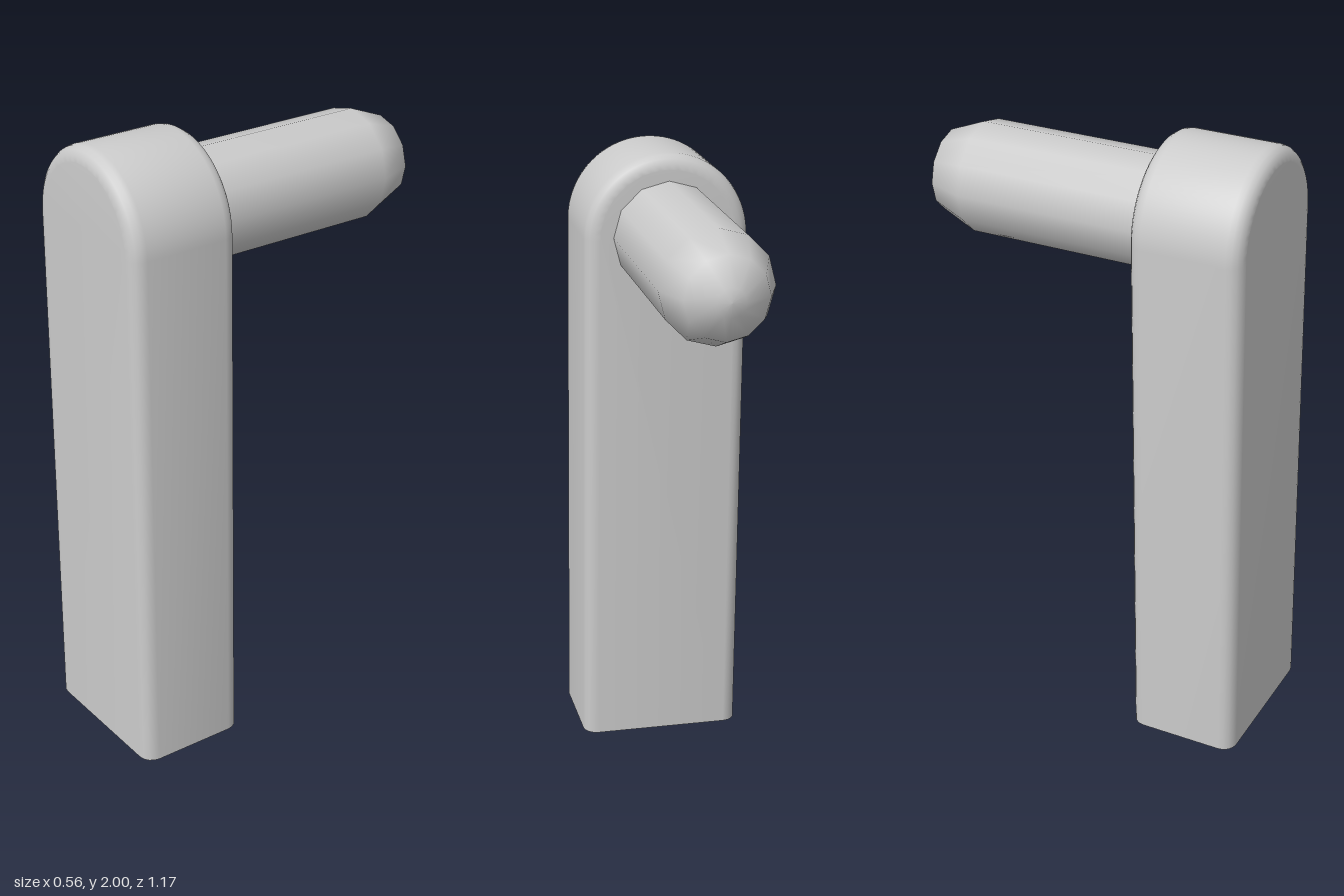
import * as THREE from 'three';
import { toCreasedNormals } from 'three/addons/utils/BufferGeometryUtils.js';

const material = new THREE.MeshStandardMaterial({ color: 0xcccccc });

// Upright bar: flat foot, semicircular top, softly rounded edges
function barGeometry(halfWidth, height, depth, bevel) {
  const w = halfWidth - bevel;
  const shape = new THREE.Shape();
  shape.moveTo(-w, bevel);
  shape.lineTo(w, bevel);
  shape.lineTo(w, height - halfWidth);
  shape.absarc(0, height - halfWidth, w, 0, Math.PI, false);
  shape.closePath();
  const geometry = new THREE.ExtrudeGeometry(shape, {
    depth: depth - 2 * bevel, bevelThickness: bevel, bevelSize: bevel,
    bevelSegments: 4, curveSegments: 24,
  });
  geometry.translate(0, 0, bevel - depth / 2);
  // Flatten the foot so only its vertical corners stay rounded
  const p = geometry.attributes.position;
  for (let i = 0; i < p.count; i++) if (p.getY(i) < 0.1) p.setY(i, 0);
  return toCreasedNormals(geometry, 0.7);
}

// Pin: twelve-sided rod with a coarse domed end, pointing backwards
function pinGeometry() {
  const profile = [[0.177, 0.1], [0.177, 0.8], [0.13, 0.918], [0.045, 0.966], [0, 0.97]];
  const geometry = new THREE.LatheGeometry(profile.map(([r, y]) => new THREE.Vector2(r, y)), 12);
  return geometry.rotateX(-Math.PI / 2);
}

export function createModel() {
  const model = new THREE.Group();
  model.name = 'crankHandle';

  // The whole piece leans very slightly
  const body = new THREE.Group();
  body.name = 'leaningBody';
  body.position.set(0.012, 0.006, 0.405);
  body.rotation.set(-0.01, -0.011, 0.0145);
  model.add(body);

  const bar = new THREE.Mesh(barGeometry(0.265, 1.993, 0.36, 0.045), material);
  bar.name = 'uprightBar';
  body.add(bar);

  const pin = new THREE.Mesh(pinGeometry(), material);
  pin.name = 'roundedPin';
  pin.position.y = 1.735;
  body.add(pin);

  return model;
}
